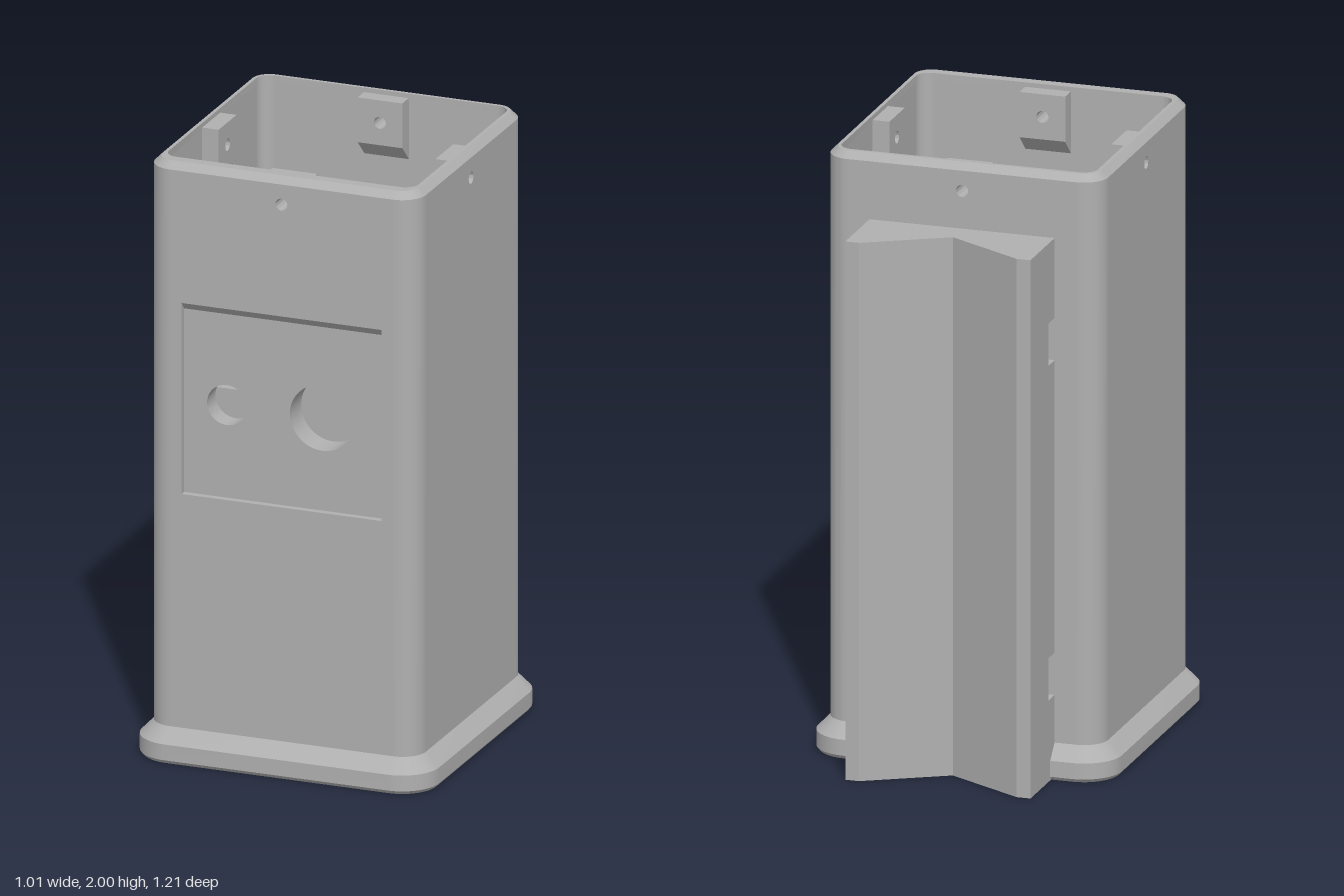
import * as THREE from 'three';
import { toCreasedNormals } from 'three/addons/utils/BufferGeometryUtils.js';

const CZ = 0.097;   // centre of the housing in z
const FLAT = 0.38;  // half length of the straight part of every side
const grey = new THREE.MeshStandardMaterial({ color: 0xb0b0b0 });
grey.name = 'plain grey';

function mesh(name, geo, parent) {
  const m = new THREE.Mesh(geo, grey);
  m.name = name;
  parent.add(m);
  return m;
}

function poly(points) {
  return new THREE.Shape(points.map(([x, y]) => new THREE.Vector2(x, y)));
}

const rect = (x0, y0, x1, y1) => poly([[x0, y0], [x1, y0], [x1, y1], [x0, y1]]);

function circle(x, y, r) {
  return new THREE.Path().absarc(x, y, r, 0, Math.PI * 2, true);
}

function extrude(shape, depth, holes = []) {
  shape.holes.push(...holes);
  const g = new THREE.ExtrudeGeometry(shape, { depth, bevelEnabled: false, curveSegments: 24 });
  return toCreasedNormals(g, 0.5);
}

// Extrudes a footprint given in x and -z upwards from y0 to y1
function upright(shape, y0, y1, holes) {
  return extrude(shape, y1 - y0, holes).rotateX(-Math.PI / 2).translate(0, y0, 0);
}

// Rounded square outline: corner radius r, front corner centres at zf
const SEG = 12;
function ring(r, zf = CZ + FLAT) {
  const pts = [];
  [[1, 1], [-1, 1], [-1, -1], [1, -1]].forEach(([sx, sz], c) => {
    for (let i = 0; i <= SEG; i++) {
      const a = (c + i / SEG) * Math.PI / 2;
      pts.push([sx * FLAT + r * Math.cos(a), (sz > 0 ? zf : CZ - FLAT) + r * Math.sin(a)]);
    }
  });
  return pts;
}

// Skin through the rings; open bands keep only the rounded corners
function shell(rings) {
  const pos = [], idx = [], n = 4 * (SEG + 1);
  rings.forEach(({ r, y, zf }) => ring(r, zf).forEach(([x, z]) => pos.push(x, y, z)));
  for (let j = 0; j < rings.length - 1; j++) {
    for (let i = 0; i < n; i++) {
      if (rings[j].open && i % (SEG + 1) === SEG) continue;
      const a = j * n + i, b = j * n + (i + 1) % n;
      idx.push(a, a + n, b, b, a + n, b + n);
    }
  }
  const g = new THREE.BufferGeometry();
  g.setAttribute('position', new THREE.Float32BufferAttribute(pos, 3));
  g.setIndex(idx);
  return toCreasedNormals(g, 0.4);
}

export function createModel() {
  const model = new THREE.Group();
  model.name = 'housing';

  // Flared foot, rounded corners, chamfered rim and inner lining
  const zf = 0.453;
  mesh('bodyShell', shell([
    { r: 0.115, y: 0 }, { r: 0.125, y: 0.012 }, { r: 0.125, y: 0.065 },
    { r: 0.08, y: 0.112, open: true }, { r: 0.08, y: 1.977 },
    { r: 0.057, y: 2 }, { r: 0.045, y: 2, zf },
    { r: 0.045, y: 1.977, zf, open: true }, { r: 0.045, y: 0.112, zf }, { r: 0.045, y: 0.06, zf },
  ]), model);

  // Floor with cable hole and two screw holes
  const floor = poly(ring(0.115).map(([x, z]) => [x, -z]));
  mesh('floor', upright(floor, 0, 0.06, [
    circle(0, -0.295, 0.097), circle(-0.317, -0.403, 0.024), circle(0.317, -0.403, 0.024),
  ]), model);

  // Four walls, each with a screw hole and an inner boss
  const Y0 = 0.112, Y1 = 1.977, screw = () => circle(0, 1.91, 0.02);
  const walls = [
    ['front', 0, 0.401], ['left', Math.PI / 2, 0.425],
    ['back', Math.PI, 0.427], ['right', -Math.PI / 2, 0.425],
  ];
  for (const [name, turn, inner] of walls) {
    const side = new THREE.Group();
    side.name = name + 'Side';
    side.rotation.y = turn;
    side.position.z = CZ;
    model.add(side);

    const panel = () => rect(-FLAT, Y0, FLAT, Y1);
    if (name === 'front') {
      // Recessed plate with two round openings
      const recess = rect(-0.34, 0.895, 0.34, 1.535);
      mesh('frontFrame', extrude(panel(), 0.022, [screw(), recess]).translate(0, 0, 0.438), side);
      mesh('recessedPlate', extrude(panel(), 0.438 - inner,
        [screw(), circle(-0.195, 1.205, 0.067), circle(0.13, 1.205, 0.11)]).translate(0, 0, inner), side);
      const bevel = poly([[-0.46, 1.535], [-0.438, 1.535], [-0.438, 1.51]]);
      mesh('recessBevel', extrude(bevel, 0.68).rotateY(Math.PI / 2).translate(-0.34, 0, 0), side);
      // Collars behind the openings
      mesh('smallCollar', extrude(rect(-0.293, 1.107, -0.097, 1.303), 0.041,
        [circle(-0.195, 1.205, 0.07)]).translate(0, 0, inner - 0.041), side);
      const big = new THREE.Shape().absarc(0.13, 1.205, 0.2, 0, Math.PI * 2, false);
      mesh('largeCollar', extrude(big, 0.058,
        [circle(0.13, 1.205, 0.11)]).translate(0, 0, inner - 0.058), side);
    } else {
      mesh(name + 'Wall', extrude(panel(), 0.46 - inner, [screw()]).translate(0, 0, inner), side);
    }

    // Screw boss with a sloping underside
    mesh('screwBoss', extrude(rect(-0.076, 1.835, 0.076, 1.985), 0.056, [screw()])
      .translate(0, 0, inner - 0.056), side);
    const slope = poly([[-inner, 1.835], [-inner, 1.78], [0.056 - inner, 1.835]]);
    mesh('bossSlope', extrude(slope, 0.152).rotateY(Math.PI / 2).translate(-0.076, 0, 0), side);
  }

  // Grooved rails inside the left and right walls
  for (const s of [1, -1]) {
    const profile = [[0.43, -0.025], [0.43, -0.115], [0.27, -0.115], [0.27, -0.085],
      [0.3, -0.085], [0.3, -0.05], [0.27, -0.05], [0.27, -0.025]];
    mesh(s > 0 ? 'leftRail' : 'rightRail',
      upright(poly(profile.map(([x, y]) => [s * x, y])), 0.06, 1.1), model);
  }

  // V-notched mounting block on the back, with two strap slots
  const cuts = [0, 0.27, 0.41, 1.38, 1.52, 1.785];
  const block = new THREE.Group();
  block.name = 'mountingBlock';
  model.add(block);
  for (let i = 0; i < 5; i++) {
    const z = i % 2 ? 0.425 : 0.355;
    const foot = poly([[-0.308, z], [0.308, z], [0.308, 0.605], [0.262, 0.605],
      [0, 0.456], [-0.262, 0.605], [-0.308, 0.605]]);
    mesh(i % 2 ? 'slottedSection' : 'solidSection', upright(foot, cuts[i], cuts[i + 1]), block);
  }
  return model;
}
